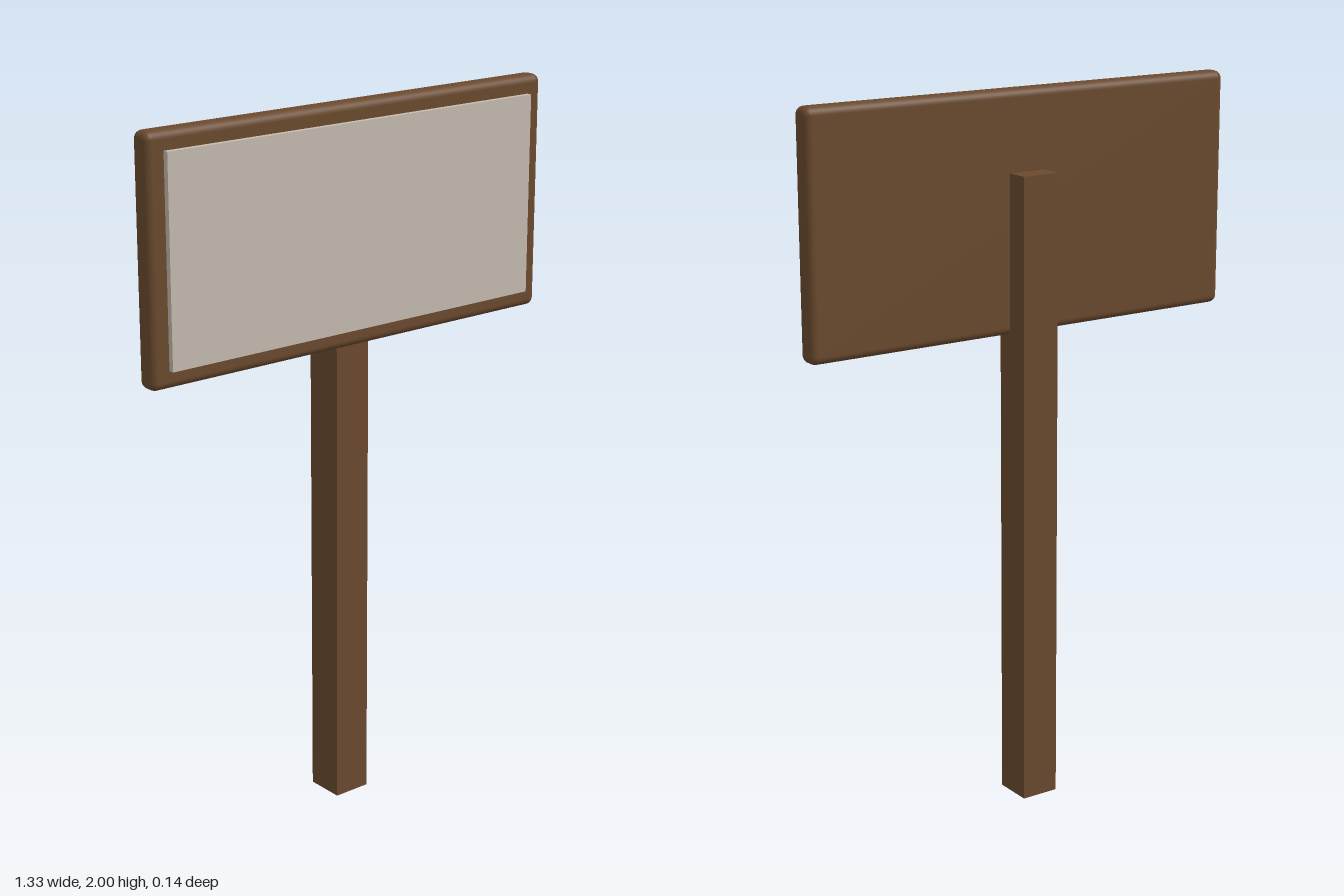
import * as THREE from 'three';
import { RoundedBoxGeometry } from 'three/addons/geometries/RoundedBoxGeometry.js';

export function createModel() {
  const group = new THREE.Group();
  group.name = 'signpost';

  const wood = new THREE.MeshStandardMaterial({ color: 0x6b4a2e });
  wood.name = 'brown wood';
  const paper = new THREE.MeshStandardMaterial({ color: 0xc6bbb0 });
  paper.name = 'pale panel';

  const add = (name, geometry, material, x, y, z) => {
    const mesh = new THREE.Mesh(geometry, material);
    mesh.name = name;
    mesh.position.set(x, y, z);
    group.add(mesh);
  };

  // Square post, let into the back of the board
  add('post', new THREE.BoxGeometry(0.11, 1.78, 0.112), wood, 0, 0.89, -0.016);

  // Board with softened edges
  add('board', new RoundedBoxGeometry(1.33, 0.66, 0.063, 4, 0.022), wood, 0, 1.67, 0.025);

  // Blank panel standing slightly proud of the board
  add('panel', new THREE.BoxGeometry(1.224, 0.56, 0.03), paper, 0, 1.67, 0.057);

  return group;
}
